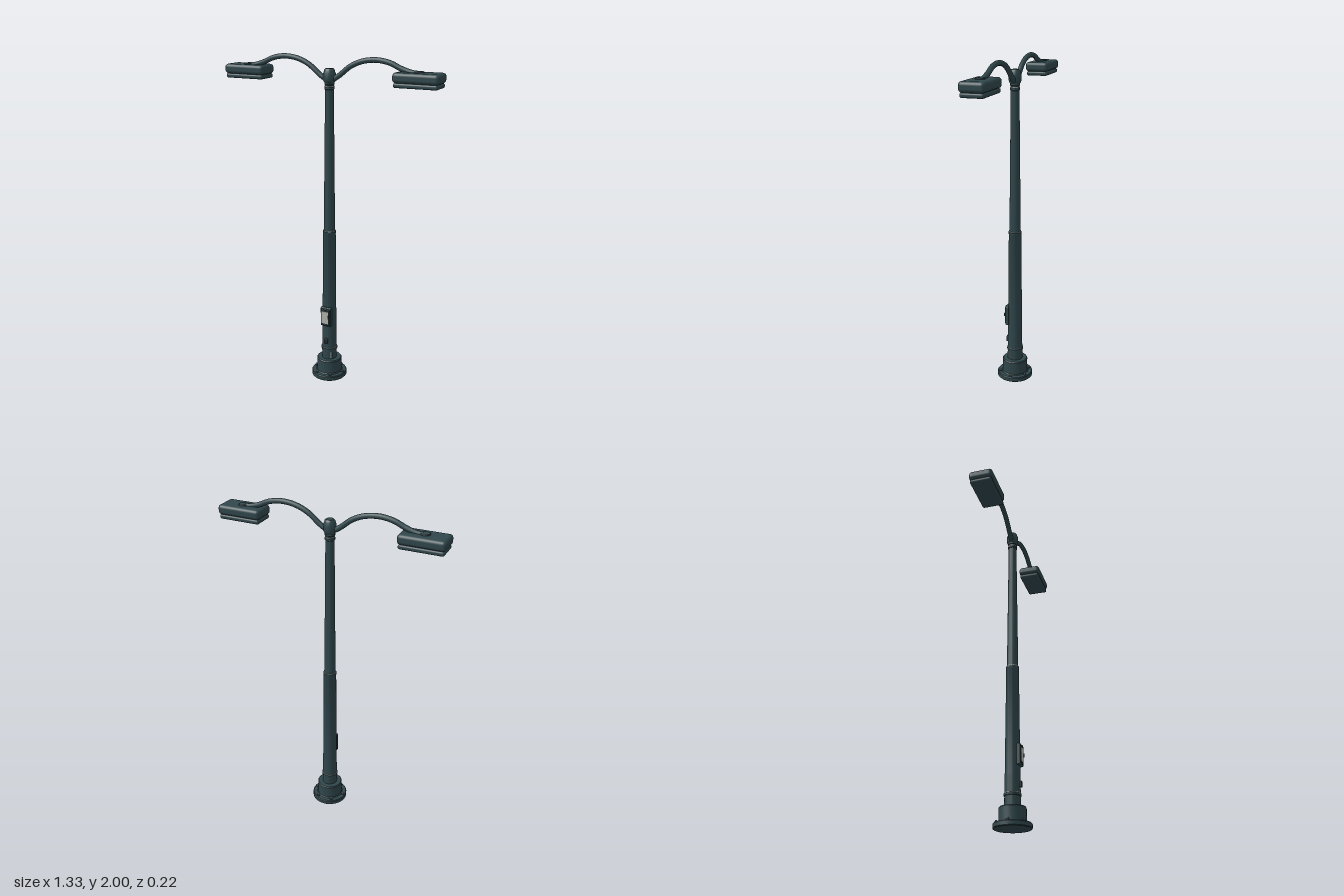
import * as THREE from 'three';
import { RoundedBoxGeometry } from 'three/addons/geometries/RoundedBoxGeometry.js';
import { toCreasedNormals } from 'three/addons/utils/BufferGeometryUtils.js';

function material(name, color) {
  const m = new THREE.MeshStandardMaterial({ color });
  m.name = name;
  return m;
}

export function createModel() {
  const model = new THREE.Group();
  model.name = 'streetLamp';
  const paint = material('dark teal paint', 0x30474c);
  const shade = material('dark trim', 0x1f3034);
  const steel = material('bare steel', 0x9a9f9d);
  const paper = material('pale label', 0xb4b5ae);

  const add = (name, geometry, mat, x = 0, y = 0, z = 0, parent = model) => {
    const mesh = new THREE.Mesh(geometry, mat);
    mesh.name = name;
    mesh.position.set(x, y, z);
    parent.add(mesh);
    return mesh;
  };
  const turned = (points, sides = 40) => toCreasedNormals(
    new THREE.LatheGeometry(points.map(([r, y]) => new THREE.Vector2(r, y)), sides), 0.6);
  const rounded = (w, h, d, r) => new RoundedBoxGeometry(w, h, d, 4, r);

  // Base flange and socket
  add('base', turned([[0, 0], [0.106, 0], [0.11, 0.004], [0.11, 0.026], [0.106, 0.031],
    [0.083, 0.031], [0.078, 0.037], [0.078, 0.115], [0.073, 0.121], [0.045, 0.121]]), paint);

  // Flange bolts
  for (let i = 0; i < 6; i++) {
    const a = i * Math.PI / 3;
    const x = 0.092 * Math.cos(a), z = 0.092 * Math.sin(a);
    add('boltNut', new THREE.CylinderGeometry(0.009, 0.009, 0.008, 6), paint, x, 0.035, z);
    add('boltTip', new THREE.CylinderGeometry(0.005, 0.005, 0.007, 10), steel, x, 0.0415, z);
  }

  // Tapered mast
  add('lowerPole', turned([[0.046, 0.115], [0.046, 0.18], [0.05, 0.182], [0.05, 0.194],
    [0.046, 0.196], [0.044, 0.3], [0.038, 0.95], [0.039, 0.952], [0.039, 0.966], [0.034, 0.968]]), paint);
  add('upperPole', turned([[0.034, 0.96], [0.025, 1.81], [0.029, 1.813], [0.029, 1.825],
    [0.025, 1.829], [0.025, 1.836], [0.029, 1.84], [0.029, 1.848], [0.024, 1.852]]), paint);
  // Bare metal seams
  for (const [r, y] of [[0.0475, 0.198], [0.0365, 0.969], [0.0272, 1.829]])
    add('seamRing', new THREE.CylinderGeometry(r, r, 0.004, 40), steel, 0, y, 0);

  // Hub holding both arms
  add('hub', turned([[0.024, 1.842], [0.033, 1.856], [0.036, 1.864], [0.036, 1.9],
    [0.031, 1.912], [0.029, 1.921], [0.022, 1.928], [0, 1.93]]), paint);

  // Service door with frame, latches and label
  const door = new THREE.Group();
  door.name = 'serviceDoor';
  model.add(door);
  add('doorFrame', rounded(0.07, 0.125, 0.024, 0.006), paint, 0, 0.415, 0.043, door);
  add('doorPanel', rounded(0.056, 0.108, 0.008, 0.003), shade, 0, 0.414, 0.054, door);
  add('doorLabel', new THREE.BoxGeometry(0.044, 0.08, 0.003), paper, -0.002, 0.412, 0.0585, door);
  add('doorHandle', rounded(0.008, 0.022, 0.008, 0.003), shade, 0.022, 0.418, 0.06, door);
  for (const y of [0.362, 0.468])
    add('doorLatch', rounded(0.016, 0.009, 0.01, 0.003), paint, 0, y, 0.056, door);

  // Small socket cover and earthing strip
  add('socketCover', rounded(0.026, 0.036, 0.016, 0.004), paint, 0, 0.247, 0.046);
  add('socketPlate', rounded(0.016, 0.024, 0.004, 0.0015), shade, 0, 0.247, 0.054);
  add('earthStrip', new THREE.BoxGeometry(0.007, 0.045, 0.004), steel, 0.031, 0.15, 0.036);

  // Curved arms and lamp heads
  const path = new THREE.CatmullRomCurve3([[0.015, 1.862], [0.06, 1.89], [0.13, 1.944], [0.2, 1.974],
    [0.285, 1.985], [0.365, 1.973], [0.43, 1.946], [0.49, 1.928], [0.535, 1.923]]
    .map(([x, y]) => new THREE.Vector3(x, y, 0)));
  const armGeometry = new THREE.TubeGeometry(path, 64, 0.015, 16, false);
  for (const [side, turn] of [['left', 0], ['right', Math.PI]]) {
    const arm = new THREE.Group();
    arm.name = side + 'Arm';
    arm.rotation.y = turn;
    model.add(arm);
    add('armTube', armGeometry, paint, 0, 0, 0, arm);
    add('armMount', turned([[0.028, 1.922], [0.028, 1.933], [0.025, 1.936], [0, 1.937]], 32),
      paint, 0.536, 0, 0, arm);
    add('lampHousing', rounded(0.264, 0.056, 0.142, 0.02), paint, 0.535, 1.902, 0, arm);
    add('lampGroove', new THREE.BoxGeometry(0.236, 0.016, 0.114), shade, 0.535, 1.876, 0, arm);
    add('lampCover', rounded(0.25, 0.026, 0.13, 0.011), paint, 0.535, 1.862, 0, arm);
  }
  return model;
}
